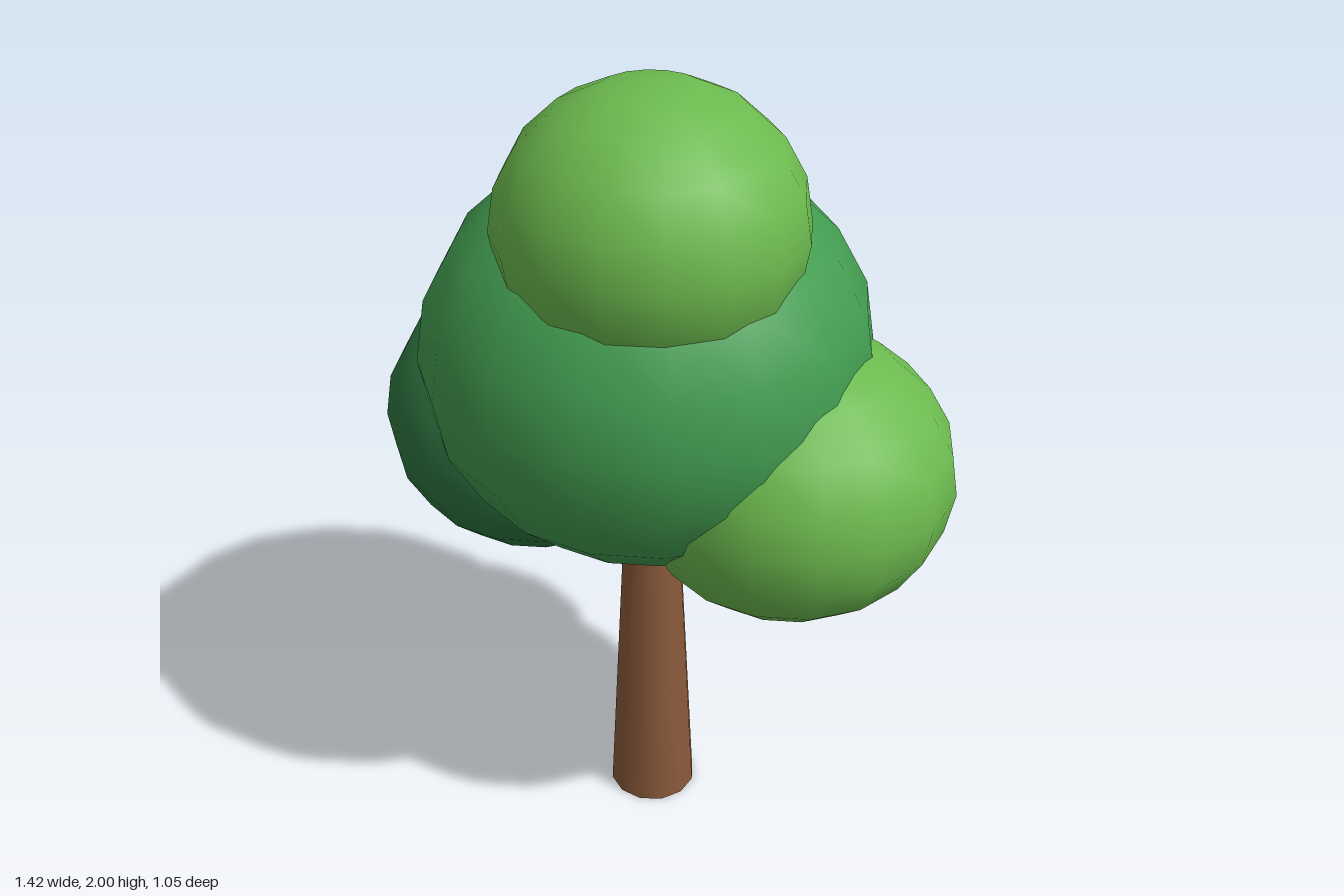
import * as THREE from 'three';

const BARK = 0x8a5a3a, GREEN = 0x429c50, DARK = 0x2e7640, LIGHT = 0x6cba4e;

export function createModel() {
  const tree = new THREE.Group();
  tree.name = 'tree';

  const add = (name, geometry, color, x, y, z) => {
    const mesh = new THREE.Mesh(geometry, new THREE.MeshStandardMaterial({ color }));
    mesh.name = name;
    mesh.position.set(x, y, z);
    tree.add(mesh);
    return mesh;
  };

  // Tapered trunk, its top hidden inside the crown
  add('trunk', new THREE.CylinderGeometry(0.062, 0.1125, 1, 12), BARK, -0.022, 0.5, 0);

  // Foliage: slightly flattened spheres [name, color, x, y, z, radius, half height]
  const clumps = [
    ['mainFoliage', GREEN, -0.03, 1.32, 0, 0.526, 0.482],
    ['topFoliage', LIGHT, 0.018, 1.687, 0.125, 0.342, 0.313],
    ['leftFoliage', LIGHT, 0.325, 1.085, 0.04, 0.381, 0.336],
    ['rightFoliage', DARK, -0.34, 1.07, -0.08, 0.37, 0.34],
    ['backFoliage', GREEN, 0.06, 1.0, -0.218, 0.31, 0.284],
  ];
  for (const [name, color, x, y, z, radius, halfHeight] of clumps) {
    const geometry = new THREE.SphereGeometry(radius, 16, 10);
    add(name, geometry, color, x, y, z).scale.y = halfHeight / radius;
  }

  return tree;
}
